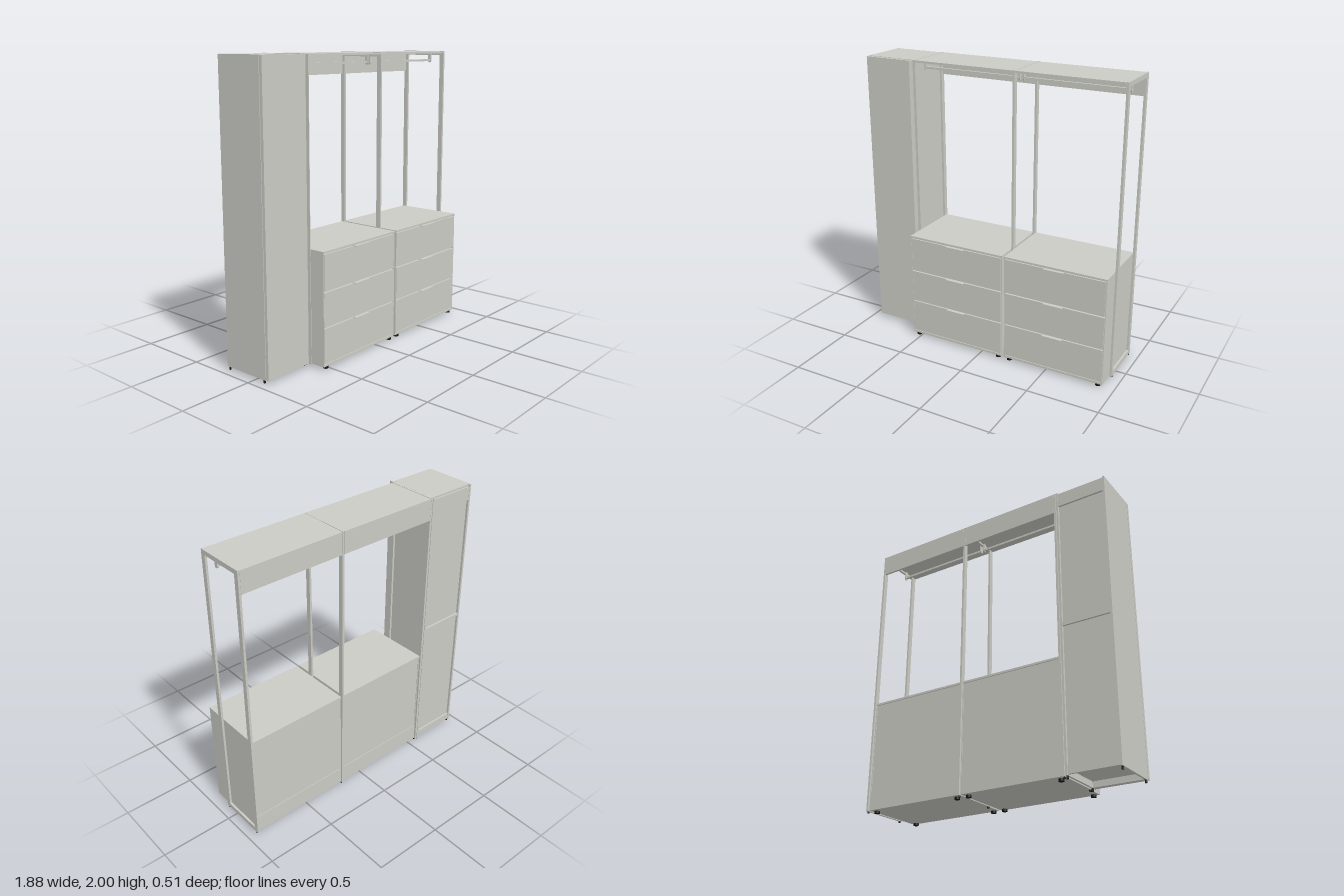
import * as THREE from 'three';

export function createModel() {
  const model = new THREE.Group();
  model.name = 'wardrobeUnit';
  const grey = new THREE.MeshStandardMaterial({ color: 0xcbcbc5 });
  grey.name = 'pale grey';
  const black = new THREE.MeshStandardMaterial({ color: 0x161616 });
  black.name = 'black';

  const group = (name) => {
    const g = new THREE.Group();
    g.name = name;
    model.add(g);
    return g;
  };
  // Box given by its minimum and maximum on each axis
  const box = (parent, name, x0, x1, y0, y1, z0, z1, mat = grey) => {
    const m = new THREE.Mesh(new THREE.BoxGeometry(x1 - x0, y1 - y0, z1 - z0), mat);
    m.position.set((x0 + x1) / 2, (y0 + y1) / 2, (z0 + z1) / 2);
    m.name = name;
    parent.add(m);
  };
  const foot = (parent, x, z, r, y0, y1) => {
    const m = new THREE.Mesh(new THREE.CylinderGeometry(r, r, y1 - y0, 20), black);
    m.position.set(x, (y0 + y1) / 2, z);
    m.name = 'foot';
    parent.add(m);
  };
  const BACK = -0.255, FRONT = 0.103;

  // Open upright frames
  for (const [x0, x1] of [[-0.574, -0.559], [0.173, 0.188], [0.92, 0.935]]) {
    const frame = group('uprightFrame');
    box(frame, 'frontPost', x0, x1, 0.015, 2, FRONT - 0.033, FRONT);
    box(frame, 'backPost', x0, x1, 0.015, 2, BACK, BACK + 0.033);
    box(frame, 'topRail', x0, x1, 1.97, 2, BACK + 0.033, FRONT - 0.033);
    box(frame, 'bottomRail', x0, x1, 0.015, 0.047, BACK + 0.033, FRONT - 0.033);
    for (const z of [0.085, -0.238]) foot(frame, (x0 + x1) / 2, z, 0.007, 0.004, 0.015);
  }

  // Two bays, each with a chest of drawers below and a hanging rail above
  for (const [x0, x1] of [[-0.558, 0.172], [0.189, 0.919]]) {
    const mid = (x0 + x1) / 2;

    const chest = group('drawerChest');
    box(chest, 'carcass', x0 + 0.002, x1 - 0.002, 0.022, 0.772, -0.238, 0.216);
    box(chest, 'topPanel', x0, x1, 0.771, 0.785, -0.245, 0.236);
    box(chest, 'basePanel', x0, x1, 0.02, 0.036, -0.242, 0.234);
    box(chest, 'backPlinth', x0, x1, 0.03, 0.145, -0.242, -0.236);
    for (const [a, b] of [[x0, x0 + 0.006], [x1 - 0.006, x1]])
      box(chest, 'sidePanel', a, b, 0.02, 0.785, -0.242, 0.235);
    for (const [y0, y1] of [[0.041, 0.277], [0.284, 0.515], [0.523, 0.766]]) {
      box(chest, 'drawerFront', x0 + 0.008, x1 - 0.008, y0, y1, 0.214, 0.236);
      box(chest, 'drawerPull', mid - 0.07, mid + 0.07, y1 - 0.001, y1 + 0.003, 0.22, 0.255);
      box(chest, 'drawerPullLip', mid - 0.07, mid + 0.07, y1 - 0.006, y1 + 0.003, 0.252, 0.255);
    }
    for (const x of [x0 + 0.035, x1 - 0.035])
      for (const z of [0.217, -0.2]) foot(chest, x, z, 0.018, 0.004, 0.021);

    const canopy = group('canopy');
    box(canopy, 'roofPanel', x0, x1, 1.984, 1.998, BACK, FRONT);
    box(canopy, 'backValance', x0, x1, 1.848, 1.985, BACK, BACK + 0.014);
    box(canopy, 'hangingRail', x0 + 0.004, x1 - 0.004, 1.925, 1.94, -0.024, -0.008);
    for (const x of [x0 + 0.006, x1 - 0.006]) {
      box(canopy, 'railBracket', x - 0.005, x + 0.005, 1.928, 1.984, -0.028, -0.004);
      const end = new THREE.Mesh(new THREE.CylinderGeometry(0.012, 0.012, 0.01, 20), grey);
      end.rotation.z = Math.PI / 2;
      end.position.set(x, 1.928, -0.016);
      end.name = 'railBracketEnd';
      canopy.add(end);
    }
  }

  // Tall cabinet
  const tall = group('tallCabinet');
  const L = -0.94, R = -0.578;
  for (const [a, b] of [[L, L + 0.014], [R - 0.014, R]])
    box(tall, 'sidePanel', a, b, 0.02, 1.998, BACK, 0.098);
  const a = L + 0.014, b = R - 0.014;
  box(tall, 'roofPanel', a, b, 1.984, 1.998, BACK + 0.012, 0.098);
  box(tall, 'basePanel', a, b, 0.06, 0.076, BACK + 0.004, 0.098);
  box(tall, 'plinth', a, b, 0.02, 0.06, 0.07, 0.085);
  box(tall, 'backPanel', a, b, 0.076, 1.984, BACK + 0.016, BACK + 0.024);
  box(tall, 'topBackRail', a, b, 1.89, 1.984, BACK + 0.002, BACK + 0.016);
  box(tall, 'middleBackRail', a, b, 0.985, 1.005, BACK + 0.002, BACK + 0.016);
  box(tall, 'bottomBackRail', a, b, 0.025, 0.06, BACK + 0.004, BACK + 0.018);
  box(tall, 'door', L, R - 0.004, 0.025, 1.996, 0.102, 0.123);
  box(tall, 'doorGripStrip', R - 0.004, R, 0.025, 1.996, 0.104, 0.146);
  for (const x of [L + 0.007, R - 0.007])
    for (const z of [0.08, -0.238]) foot(tall, x, z, 0.007, 0, 0.021);

  return model;
}
